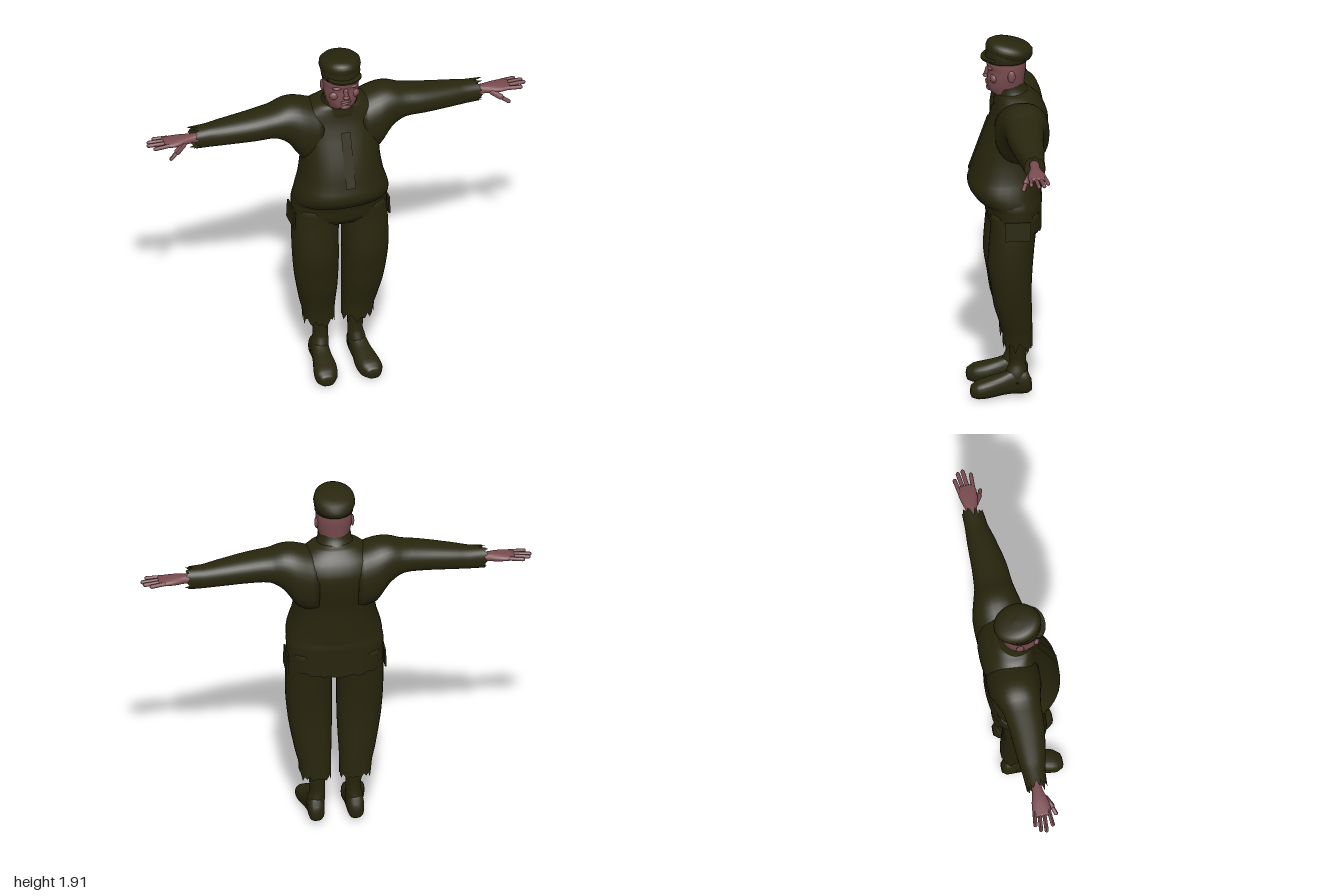
import * as THREE from 'three';

const olive = new THREE.MeshStandardMaterial({ color: 0x28260d, side: THREE.DoubleSide });
olive.name = 'olive cloth';
const skin = new THREE.MeshStandardMaterial({ color: 0x7a4c50 });
skin.name = 'skin';

// Skin over cross-sections [s, aMin, aMax, bMin, bMax] along an axis.
// Axis y: a = z, b = x.  Axis x: a = y, b = z.  Axis z: a = x, b = y.
// tearStart / tearEnd push the first / last ring along the axis for ragged hems.
function loft(axis, rows, { n = 32, power = 2.3, steps = 3, tearStart, tearEnd, caps = true } = {}) {
  const rings = [];
  const last = (rows.length - 1) * steps;
  const at = (i) => rows[Math.max(0, Math.min(rows.length - 1, i))];
  for (let k = 0; k <= last; k++) {
    const i = Math.min(Math.floor(k / steps), rows.length - 2), t = k / steps - i;
    rings.push(rows[0].map((_, j) => {
      if (j === 0) return THREE.MathUtils.lerp(at(i)[0], at(i + 1)[0], t);
      const p0 = at(i)[j], p1 = at(i + 1)[j];
      const m0 = (p1 - at(i - 1)[j]) / 2, m1 = (at(i + 2)[j] - p0) / 2;
      const t2 = t * t, t3 = t2 * t;
      return (2 * t3 - 3 * t2 + 1) * p0 + (t3 - 2 * t2 + t) * m0 + (3 * t2 - 2 * t3) * p1 + (t3 - t2) * m1;
    }));
  }
  const pos = [], idx = [];
  const put = (s, a, b) => pos.push(...(axis === 'y' ? [b, s, a] : axis === 'x' ? [s, a, b] : [a, b, s]));
  const bend = (v) => Math.sign(v) * Math.pow(Math.abs(v), 2 / power);
  rings.forEach(([s, a0, a1, b0, b1], k) => {
    for (let i = 0; i < n; i++) {
      const q = (i / n) * Math.PI * 2;
      const tear = k === 0 && tearStart ? tearStart(q, i) : k === last && tearEnd ? tearEnd(q, i) : 0;
      put(s + tear, (a0 + a1) / 2 + bend(Math.cos(q)) * (a1 - a0) / 2, (b0 + b1) / 2 + bend(Math.sin(q)) * (b1 - b0) / 2);
      if (k < last) {
        const j = (i + 1) % n, p = k * n;
        idx.push(p + i, p + j, p + n + j, p + i, p + n + j, p + n + i);
      }
    }
  });
  if (caps) for (const k of [0, last]) {
    if (k === 0 ? tearStart : tearEnd) continue;
    const [s, a0, a1, b0, b1] = rings[k], c = pos.length / 3;
    put(s, (a0 + a1) / 2, (b0 + b1) / 2);
    for (let i = 0; i < n; i++) {
      const p = k * n + i, r = k * n + (i + 1) % n;
      if (k === 0) idx.push(c, r, p); else idx.push(c, p, r);
    }
  }
  const g = new THREE.BufferGeometry();
  g.setAttribute('position', new THREE.Float32BufferAttribute(pos, 3));
  g.setIndex(idx);
  g.computeVertexNormals();
  return g;
}

// Mirror a geometry in x and restore its winding
function mirrored(geo) {
  const g = geo.clone().scale(-1, 1, 1);
  const a = g.index.array;
  for (let i = 0; i < a.length; i += 3) [a[i], a[i + 1]] = [a[i + 1], a[i]];
  g.computeVertexNormals();
  return g;
}

// Rounded finger between two points
function finger(from, to, r) {
  const a = new THREE.Vector3(...from), b = new THREE.Vector3(...to), d = b.clone().sub(a);
  const g = new THREE.CapsuleGeometry(r, d.length() - r, 4, 8);
  const q = new THREE.Quaternion().setFromUnitVectors(new THREE.Vector3(0, 1, 0), d.normalize());
  return g.applyQuaternion(q).translate(...a.add(b).multiplyScalar(0.5).toArray());
}

const ball = (x, y, z, sx, sy, sz) => new THREE.SphereGeometry(1, 16, 12).scale(sx, sy, sz).translate(x, y, z);
const rag = (i) => Math.abs(Math.sin(i * 12.9898) * 43758.5453) % 1;
const even = (y, back, front, w) => [y, back, front, -w, w];

export function createModel() {
  const model = new THREE.Group();
  const add = (name, geo, mat) => {
    const m = new THREE.Mesh(geo, mat);
    m.name = name;
    model.add(m);
    return m;
  };
  const pair = (name, geo, mat) => {
    add(name + 'Left', geo, mat);
    add(name + 'Right', mirrored(geo), mat);
  };

  // Jacket body with the belly hanging over the hem
  add('jacket', loft('y', [
    even(1.03, -0.165, 0.1, 0.235), even(1.07, -0.17, 0.165, 0.246), even(1.13, -0.172, 0.204, 0.238),
    even(1.2, -0.175, 0.19, 0.217), even(1.3, -0.18, 0.163, 0.203), even(1.4, -0.198, 0.125, 0.207),
    even(1.5, -0.203, 0.085, 0.22), even(1.57, -0.175, 0.065, 0.2), even(1.62, -0.13, 0.055, 0.13),
    even(1.64, -0.1, 0.04, 0.07)]), olive);

  // Jacket tail, long at the back and short at the front
  add('jacketTail', loft('y', [
    even(1.03, -0.17, 0.118, 0.247), even(1.06, -0.173, 0.14, 0.248), even(1.1, -0.17, 0.16, 0.24)], {
    n: 48, caps: false,
    tearStart: (q, i) => -0.02 - 0.085 * Math.pow((1 - Math.cos(q)) / 2, 0.7) - 0.03 * rag(i) * (Math.cos(q) < 0.4 ? 1 : 0.2),
  }), olive);

  // Collar, higher behind the neck
  const collar = add('collar', loft('y', [
    even(-0.05, -0.105, 0.095, 0.11), even(0, -0.085, 0.08, 0.09), even(0.035, -0.08, 0.075, 0.084)],
    { power: 2, caps: false }), olive);
  collar.position.set(0, 1.635, -0.01);
  collar.rotation.x = 0.22;

  // Button strip down the chest
  const strip = new THREE.PlaneGeometry(0.05, 0.3);
  strip.rotateX(-0.34).translate(0, 1.35, 0.15);
  add('buttonStrip', strip, olive);

  // Sleeves with ragged cuffs
  pair('sleeve', loft('x', [
    [0.1, 1.27, 1.6, -0.195, 0.08], [0.2, 1.3, 1.632, -0.195, 0.075], [0.27, 1.4, 1.635, -0.177, 0.055],
    [0.34, 1.447, 1.612, -0.155, 0.042], [0.45, 1.45, 1.595, -0.143, 0.035], [0.6, 1.445, 1.572, -0.135, 0.008],
    [0.72, 1.44, 1.554, -0.125, -0.018]], { tearEnd: (q, i) => 0.01 + 0.045 * rag(i) }), olive);

  // Hands
  pair('palm', loft('x', [
    [0.69, 1.468, 1.517, -0.1, -0.048], [0.77, 1.472, 1.517, -0.1, -0.045], [0.83, 1.472, 1.515, -0.115, -0.03],
    [0.88, 1.477, 1.509, -0.122, -0.026], [0.91, 1.483, 1.505, -0.118, -0.032]], { n: 16 }), skin);
  [[-0.112, -0.123, 0.96], [-0.088, -0.1, 0.992], [-0.064, -0.073, 1.0], [-0.04, -0.035, 0.975]].forEach(([z0, z1, x], i) =>
    pair('finger' + (i + 1), finger([0.88, 1.495, z0], [x - 0.005, 1.491, z1], 0.0105), skin));
  pair('thumbBase', finger([0.81, 1.488, -0.045], [0.86, 1.46, -0.015], 0.016), skin);
  pair('thumb', finger([0.85, 1.465, -0.02], [0.895, 1.436, -0.001], 0.0105), skin);

  // Trousers
  add('trouserSeat', loft('y', [
    even(0.92, -0.12, 0.085, 0.19), even(0.96, -0.14, 0.11, 0.238), even(1.08, -0.16, 0.125, 0.235)]), olive);
  pair('trouserLeg', loft('y', [
    [0.32, -0.117, 0.032, 0.022, 0.183], [0.4, -0.115, 0.05, 0.02, 0.202], [0.5, -0.112, 0.08, 0.016, 0.222],
    [0.6, -0.11, 0.095, 0.013, 0.238], [0.72, -0.115, 0.113, 0.013, 0.248], [0.85, -0.125, 0.106, 0.012, 0.25],
    [0.93, -0.135, 0.1, 0.004, 0.247], [1.02, -0.15, 0.1, 0.002, 0.238]],
    { tearStart: (q, i) => -0.01 - 0.06 * rag(i + 5) }), olive);

  // Side pocket flaps
  pair('pocketFlap', new THREE.BoxGeometry(0.009, 0.1, 0.13).rotateZ(0.04).translate(0.25, 0.95, -0.03), olive);

  // Boots
  pair('bootShaft', loft('y', [
    [0.08, -0.1, 0.03, 0.055, 0.145], [0.13, -0.093, 0.02, 0.052, 0.142], [0.18, -0.085, 0.0, 0.053, 0.13],
    [0.26, -0.09, 0.0, 0.052, 0.138], [0.4, -0.095, 0.01, 0.05, 0.15]], { n: 20, power: 2 }), olive);
  pair('bootFoot', loft('z', [
    [-0.112, 0.08, 0.125, 0.03, 0.09], [-0.09, 0.06, 0.142, 0.016, 0.14], [-0.02, 0.055, 0.145, 0.016, 0.15],
    [0.04, 0.055, 0.155, 0.012, 0.125], [0.1, 0.05, 0.17, 0.004, 0.108], [0.16, 0.06, 0.176, 0.002, 0.092],
    [0.195, 0.085, 0.158, 0.012, 0.07], [0.2, 0.1, 0.145, 0.025, 0.05]], { n: 24, power: 2.6 }), olive);

  // Head and face
  add('head', loft('y', [
    even(1.55, -0.085, 0.045, 0.075), even(1.61, -0.083, 0.06, 0.075), even(1.64, -0.082, 0.098, 0.072),
    even(1.67, -0.083, 0.106, 0.081), even(1.71, -0.087, 0.105, 0.089), even(1.75, -0.092, 0.1, 0.092),
    even(1.78, -0.094, 0.108, 0.093), even(1.85, -0.09, 0.1, 0.09)], { power: 2.1 }), skin);
  add('nose', finger([0, 1.758, 0.1], [0, 1.716, 0.112], 0.012), skin);
  add('noseTip', ball(0, 1.716, 0.113, 0.018, 0.011, 0.014), skin);
  add('upperLip', ball(0, 1.686, 0.104, 0.03, 0.006, 0.01), skin);
  add('lowerLip', ball(0, 1.674, 0.103, 0.026, 0.007, 0.009), skin);
  add('chin', ball(0, 1.65, 0.092, 0.03, 0.016, 0.018), skin);
  pair('brow', ball(0.038, 1.768, 0.092, 0.03, 0.009, 0.014), skin);
  pair('cheek', ball(0.05, 1.715, 0.075, 0.03, 0.025, 0.02), skin);
  pair('ear', ball(0.092, 1.733, -0.012, 0.01, 0.032, 0.02), skin);

  // Flat cap with band and peak
  add('capBand', loft('y', [
    even(1.797, -0.1, 0.112, 0.098), even(1.83, -0.104, 0.114, 0.1), even(1.87, -0.1, 0.11, 0.095)], { power: 2.05 }), olive);
  const profile = [[0.085, -0.045], [0.1, -0.03], [0.106, -0.006], [0.102, 0.018], [0.085, 0.034], [0.05, 0.042], [0, 0.044]];
  const crown = add('capCrown', new THREE.LatheGeometry(profile.map(([r, y]) => new THREE.Vector2(r, y)), 36), olive);
  crown.scale.z = 1.16;
  crown.position.set(0, 1.858, -0.008);
  crown.rotation.x = -0.2;
  const peak = add('capPeak', new THREE.CylinderGeometry(0.088, 0.09, 0.009, 24, 1, false, -Math.PI / 2, Math.PI), olive);
  peak.scale.z = 0.7;
  peak.position.set(0, 1.822, 0.075);
  peak.rotation.x = 0.15;

  return model;
}
